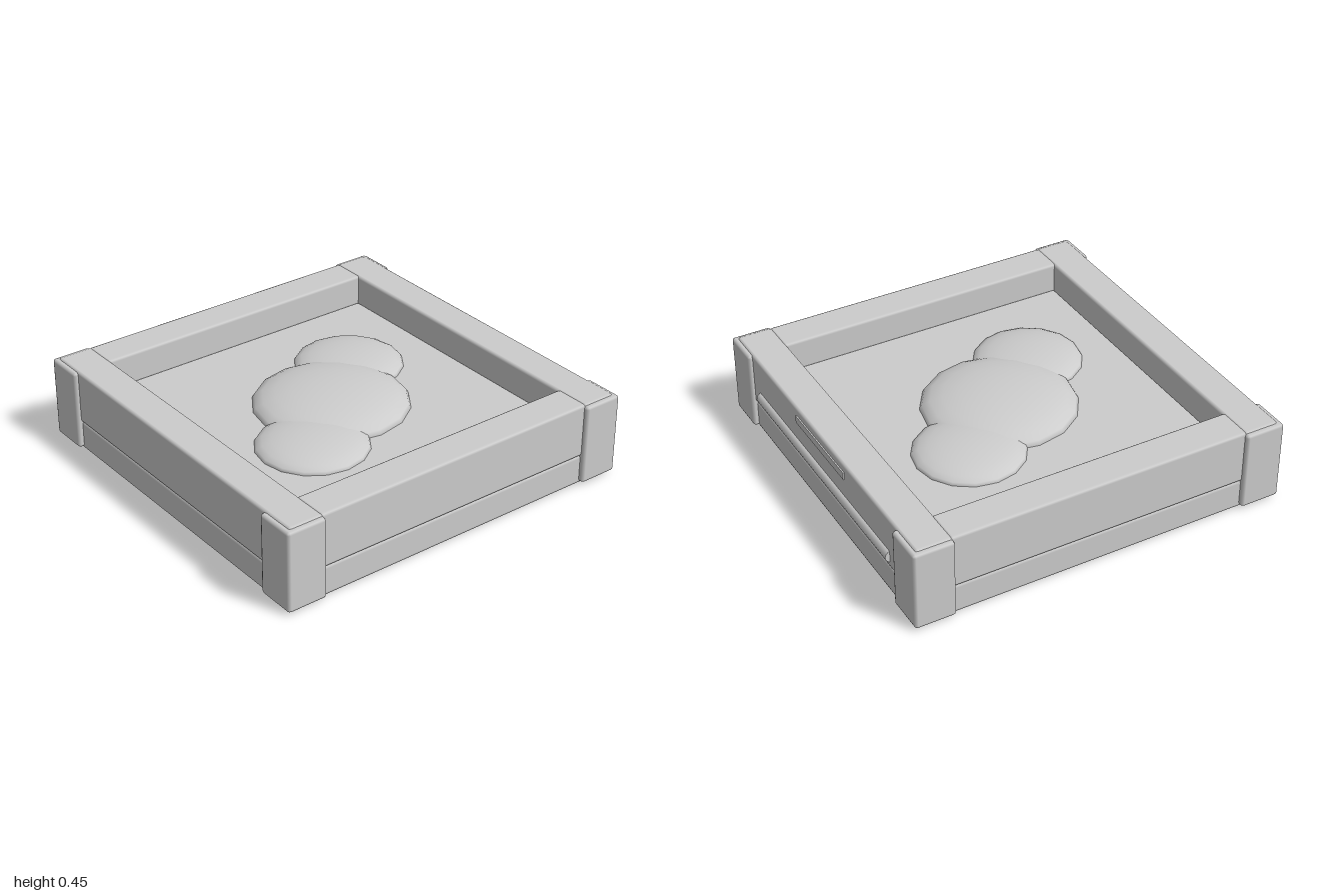
import * as THREE from 'three';
import { RoundedBoxGeometry } from 'three/addons/geometries/RoundedBoxGeometry.js';

export function createModel() {
  const model = new THREE.Group();
  model.name = 'sandbox';
  const grey = new THREE.MeshStandardMaterial({ color: 0xcccccc });
  grey.name = 'light grey';

  function add(name, geometry, x, y, z) {
    const mesh = new THREE.Mesh(geometry, grey);
    mesh.name = name;
    mesh.position.set(x, y, z);
    model.add(mesh);
    return mesh;
  }
  // Block with a single soft bevel, given its bottom and top heights
  function block(name, w, y0, y1, d, x, z, bevel = 0.015) {
    return add(name, new RoundedBoxGeometry(w, y1 - y0, d, 1, bevel), x, (y0 + y1) / 2, z);
  }

  // Base slab and the raised floor inside the frame
  block('base', 1.94, 0, 0.162, 1.94, 0, 0, 0.018);
  block('floor', 1.566, 0.1, 0.292, 1.566, 0, 0, 0.01);

  // Frame beams: long ones at the sides, shorter ones front and back
  for (const s of [-1, 1]) {
    block(s > 0 ? 'leftBeam' : 'rightBeam', 0.19, 0.16, 0.446, 1.952, s * 0.881, 0);
    block(s > 0 ? 'frontBeam' : 'backBeam', 1.6, 0.16, 0.446, 0.19, 0, s * 0.88);
  }

  // Corner posts
  for (const x of [-1, 1]) {
    for (const z of [-1, 1]) {
      block('cornerPost', 0.212, 0.013, 0.438, 0.212, x * 0.892, z * 0.892);
    }
  }

  // Flattened mounds on the floor: x, z, radius, height
  const mounds = [
    [0, 0, 0.4, 0.095],
    [0.32, -0.27, 0.285, 0.065],
    [-0.32, 0.27, 0.285, 0.065],
  ];
  for (const [x, z, r, h] of mounds) {
    const dome = new THREE.SphereGeometry(1, 16, 6, 0, Math.PI * 2, 0, Math.PI / 2);
    add('mound', dome, x, 0.29, z).scale.set(r, h, r);
  }

  // Rail and narrow plate on the left side
  const rail = add('sideRail', new THREE.CylinderGeometry(0.033, 0.033, 1.43, 12), 0.967, 0.228, 0);
  rail.rotation.x = Math.PI / 2;
  add('sidePlate', new THREE.BoxGeometry(0.02, 0.04, 0.525), 0.973, 0.384, 0);

  return model;
}
